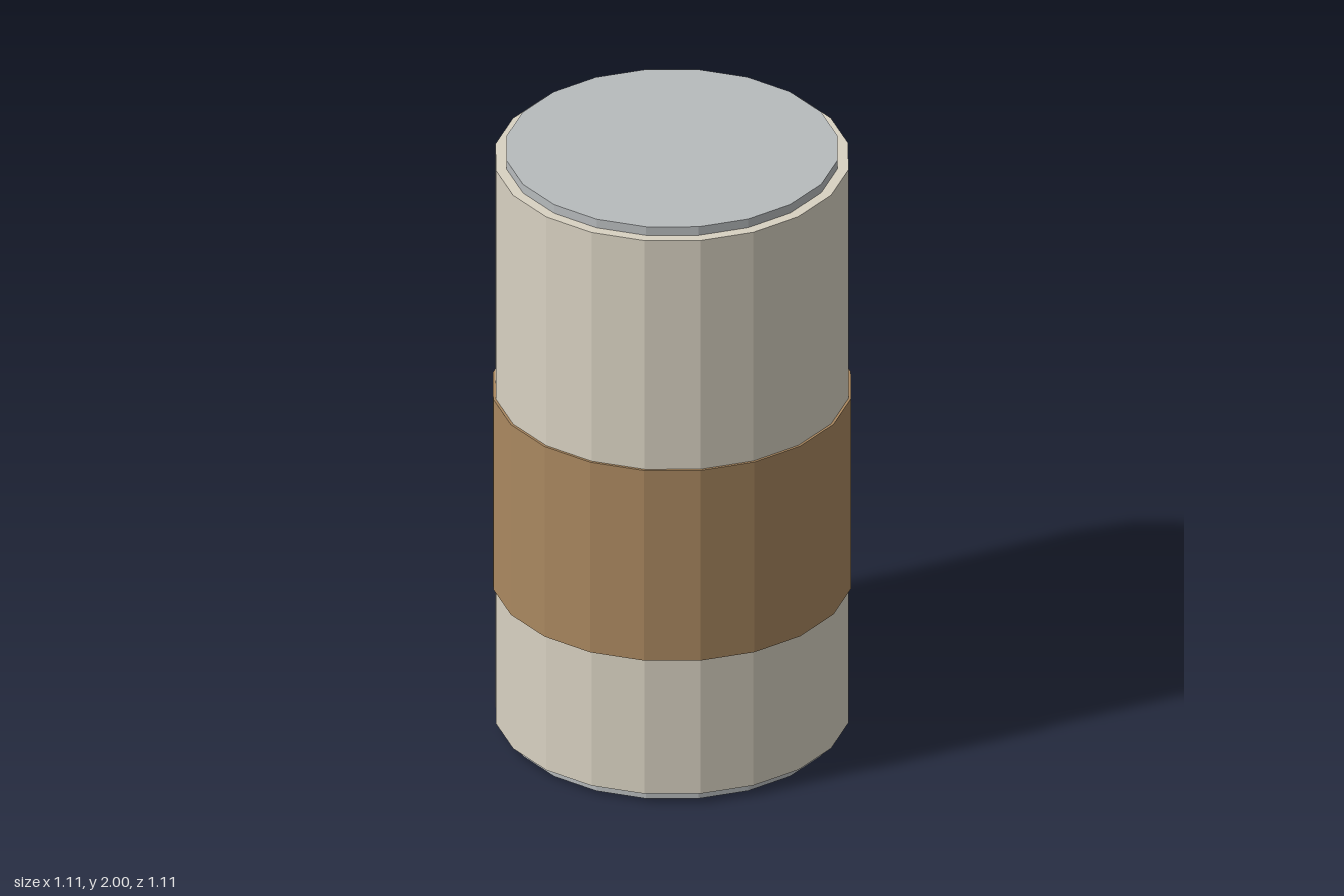
import * as THREE from 'three';

const SIDES = 20;

function material(name, color) {
  const m = new THREE.MeshStandardMaterial({ color });
  m.name = name;
  return m;
}

export function createModel() {
  const group = new THREE.Group();
  group.name = 'canister';

  const cream = material('cream', 0xd9d2c2);
  const tan = material('tan', 0xaa8860);
  const grey = material('grey', 0xb7bbbd);

  // Faceted drum between two heights
  function drum(name, radius, bottom, top, mat, openEnded = false) {
    let geo = new THREE.CylinderGeometry(radius, radius, top - bottom, SIDES, 1, openEnded);
    geo = geo.toNonIndexed();
    geo.computeVertexNormals();
    const mesh = new THREE.Mesh(geo, mat);
    mesh.name = name;
    mesh.position.y = (bottom + top) / 2;
    group.add(mesh);
  }

  // Main body with a wrap-around label band
  drum('body', 0.549, 0.035, 1.97, cream);
  drum('labelBand', 0.557, 0.505, 1.17, tan);

  // Slightly narrower metal ends
  drum('bottomCap', 0.515, 0, 0.035, grey);
  drum('topCap', 0.515, 1.97, 2, grey);

  return group;
}
